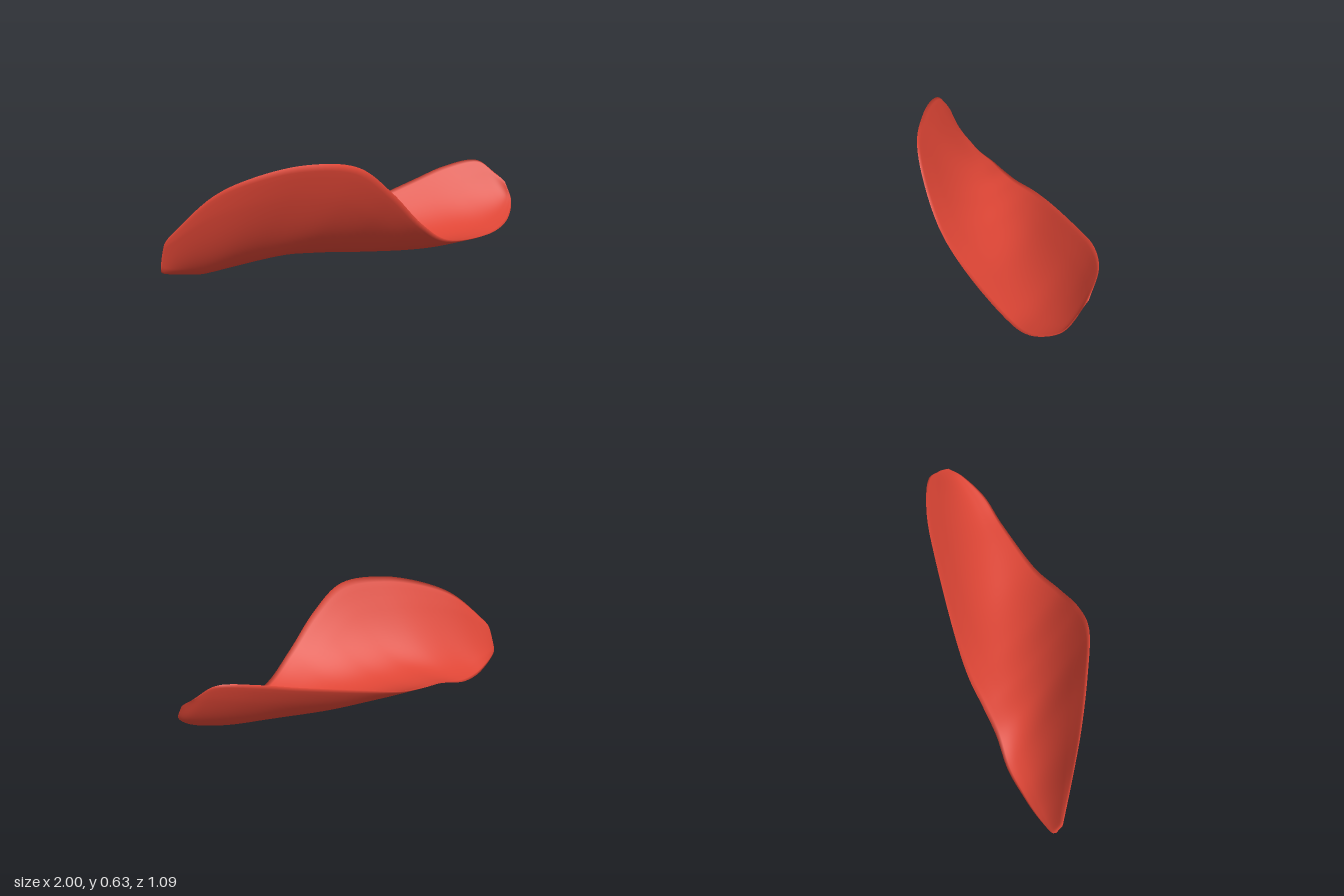
import * as THREE from 'three';

// Stations along the petal: x, front edge (z, y), sag control (z, y), back edge (z, y)
const STATIONS = [
  [-1.0, -0.50, 0.22, -0.53, 0.14, -0.535, 0.08],
  [-0.97, -0.46, 0.28, -0.52, 0.13, -0.55, 0.05],
  [-0.85, -0.30, 0.46, -0.43, 0.11, -0.545, 0.02],
  [-0.72, -0.13, 0.56, -0.33, 0.09, -0.525, 0.0],
  [-0.55, 0.07, 0.62, -0.20, 0.06, -0.49, 0.02],
  [-0.37, 0.26, 0.605, -0.02, 0.03, -0.415, 0.075],
  [-0.2, 0.36, 0.46, 0.03, -0.03, -0.365, 0.11],
  [0.0, 0.42, 0.27, 0.05, -0.07, -0.31, 0.17],
  [0.25, 0.45, 0.14, 0.08, -0.05, -0.20, 0.265],
  [0.6, 0.51, 0.115, 0.22, 0.07, -0.02, 0.40],
  [0.8, 0.54, 0.17, 0.33, 0.14, 0.10, 0.48],
  [0.95, 0.50, 0.27, 0.41, 0.25, 0.24, 0.515],
  [1.0, 0.43, 0.38, 0.41, 0.40, 0.36, 0.43],
];
const HALF_THICKNESS = 0.011;
const ROWS = 96;
const COLS = 32;

// Smooth curve through one z, y column pair of the stations
function rail(column) {
  const points = STATIONS.map((s) => new THREE.Vector3(s[0], s[column + 1], s[column]));
  return new THREE.CatmullRomCurve3(points, false, 'catmullrom', 0.5);
}

// Closed thin shell: each cross-section runs over the top and back underneath
function petalGeometry() {
  const front = rail(1), sag = rail(3), back = rail(5);
  const positions = [], indices = [];
  const ring = COLS * 2;
  for (let i = 0; i <= ROWS; i++) {
    const u = i / ROWS;
    const section = new THREE.QuadraticBezierCurve3(front.getPoint(u), sag.getPoint(u), back.getPoint(u));
    const endTaper = Math.min(1, Math.sqrt(Math.max(0, Math.sin(Math.PI * u)) * 3));
    for (let j = 0; j < ring; j++) {
      const v = j <= COLS ? j / COLS : (ring - j) / COLS;
      const side = j <= COLS ? 1 : -1;
      const p = section.getPoint(v);
      const t = section.getTangent(v);
      const edgeTaper = Math.min(1, Math.sqrt(Math.max(0, Math.sin(Math.PI * v)) * 2));
      const d = side * HALF_THICKNESS * endTaper * edgeTaper;
      const len = Math.hypot(t.y, t.z) || 1;
      positions.push(p.x, p.y - (d * t.z) / len, p.z + (d * t.y) / len);
    }
  }
  for (let i = 0; i < ROWS; i++) {
    for (let j = 0; j < ring; j++) {
      const a = i * ring + j, b = i * ring + ((j + 1) % ring);
      const c = a + ring, e = b + ring;
      indices.push(a, c, b, b, c, e);
    }
  }
  const geometry = new THREE.BufferGeometry();
  geometry.setAttribute('position', new THREE.Float32BufferAttribute(positions, 3));
  geometry.setIndex(indices);
  geometry.computeVertexNormals();
  return geometry;
}

export function createModel() {
  const group = new THREE.Group();
  group.name = 'curledPetal';
  const material = new THREE.MeshStandardMaterial({ color: 0xdd4535, side: THREE.DoubleSide });
  const petal = new THREE.Mesh(petalGeometry(), material);
  petal.name = 'petal';
  group.add(petal);
  return group;
}
